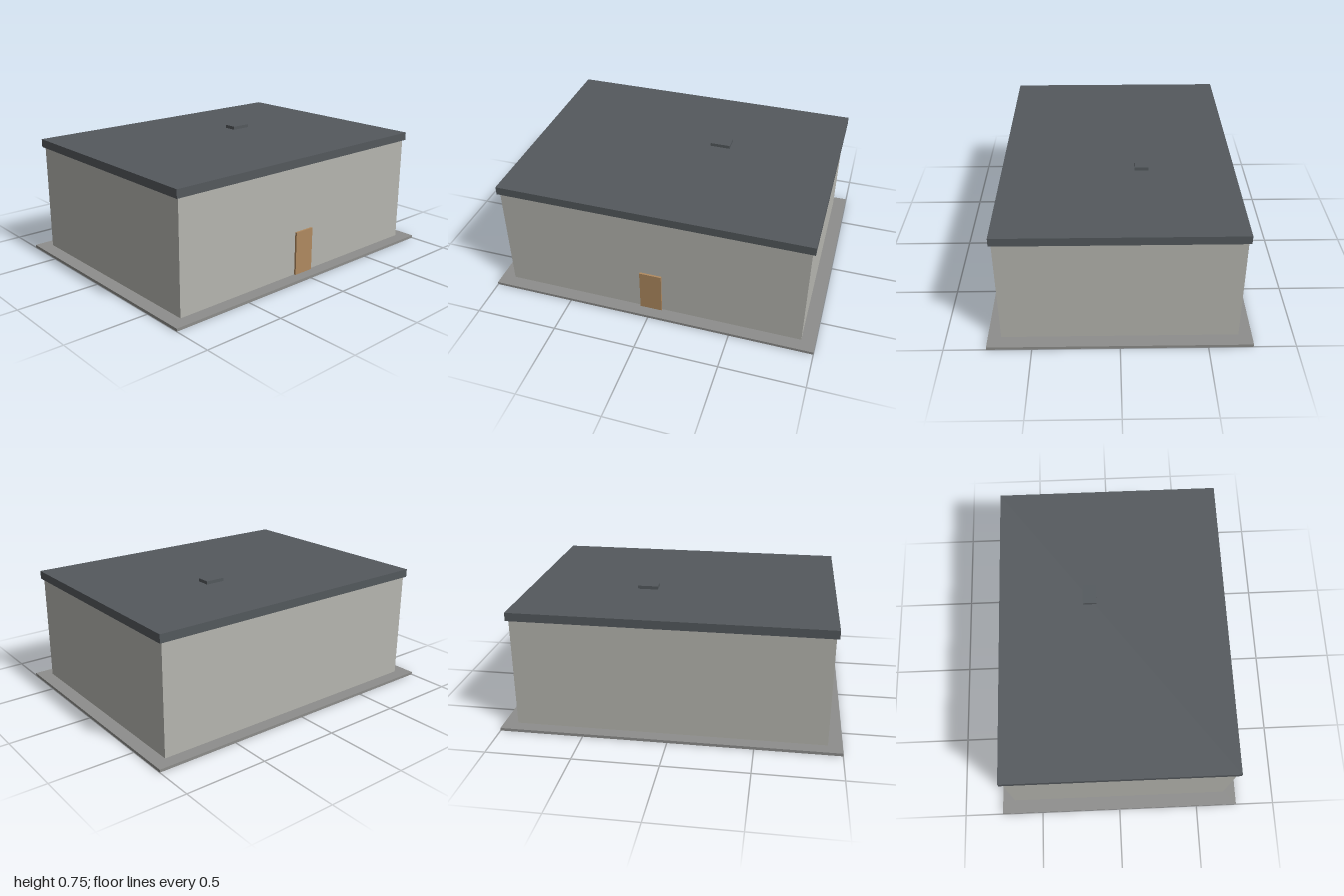
import * as THREE from 'three';

function flat(name, color) {
  const m = new THREE.MeshStandardMaterial({ color });
  m.name = name;
  return m;
}

export function createModel() {
  const group = new THREE.Group();
  group.name = 'building';

  const paving = flat('paving grey', 0x8e8e8c);
  const wall = flat('wall grey', 0xb6b6b0);
  const roofing = flat('roof slate', 0x54595d);
  const wood = flat('door wood', 0xb08a60);

  // Box given by its extents on each axis
  function block(name, material, [x0, x1], [y0, y1], [z0, z1]) {
    const mesh = new THREE.Mesh(new THREE.BoxGeometry(x1 - x0, y1 - y0, z1 - z0), material);
    mesh.position.set((x0 + x1) / 2, (y0 + y1) / 2, (z0 + z1) / 2);
    mesh.name = name;
    group.add(mesh);
  }

  // Ground slab and the main volume standing on it
  block('groundSlab', paving, [-1, 1], [0, 0.017], [-0.757, 0.757]);
  block('walls', wall, [-0.917, 0.917], [0.017, 0.678], [-0.68, 0.68]);

  // Overhanging flat roof with a small hatch
  block('roof', roofing, [-0.933, 0.933], [0.678, 0.728], [-0.692, 0.692]);
  block('roofHatch', roofing, [0.145, 0.267], [0.728, 0.748], [-0.18, -0.097]);

  // Front door
  block('door', wood, [-0.067, 0.067], [0.017, 0.283], [0.68, 0.692]);

  return group;
}
